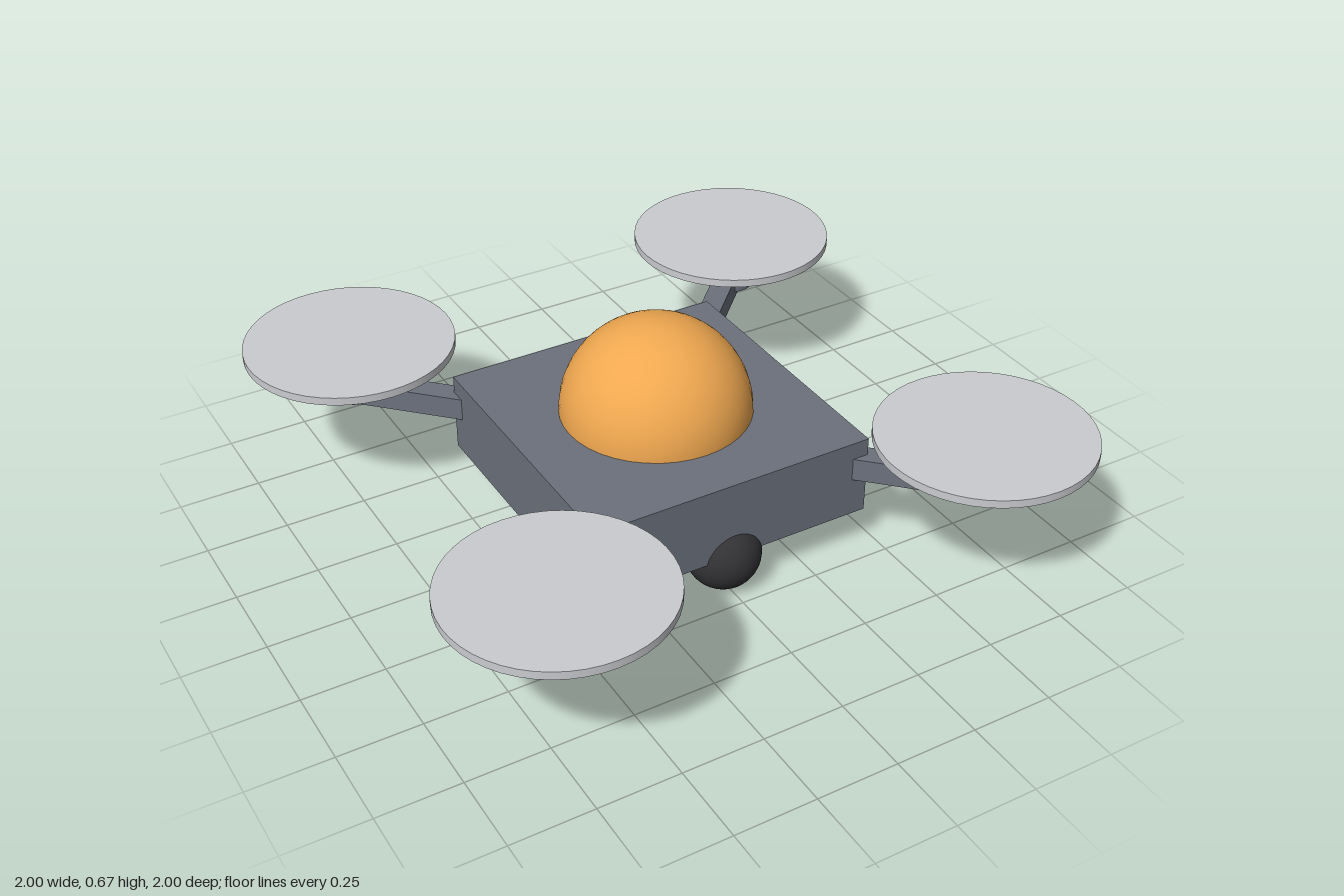
import * as THREE from 'three';

const paint = (color) => new THREE.MeshStandardMaterial({ color });

function addPart(parent, name, geometry, material, x, y, z) {
  const mesh = new THREE.Mesh(geometry, material);
  mesh.name = name;
  mesh.position.set(x, y, z);
  parent.add(mesh);
  return mesh;
}

export function createModel() {
  const model = new THREE.Group();
  model.name = 'quadcopter';

  const slate = paint(0x6b717d);
  const amber = paint(0xf0a850);
  const black = paint(0x333336);
  const light = paint(0xcbccd0);

  // Square body with a half-sphere dome on top
  addPart(model, 'body', new THREE.BoxGeometry(0.895, 0.25, 0.895), slate, 0, 0.26, 0);
  const domeGeometry = new THREE.SphereGeometry(0.287, 40, 16, 0, Math.PI * 2, 0, Math.PI / 2);
  addPart(model, 'dome', domeGeometry, amber, 0, 0.386, 0);

  // Ball camera under the front edge
  addPart(model, 'camera', new THREE.SphereGeometry(0.113, 32, 20), black, 0, 0.113, 0.385);

  // Four diagonal arms, each with a motor and a rotor disc
  const armGeometry = new THREE.BoxGeometry(0.41, 0.072, 0.071);
  const motorGeometry = new THREE.CylinderGeometry(0.077, 0.077, 0.16, 24);
  const rotorGeometry = new THREE.CylinderGeometry(0.32, 0.32, 0.025, 48);
  for (const sx of [1, -1]) {
    for (const sz of [1, -1]) {
      const unit = new THREE.Group();
      unit.name = `${sz > 0 ? 'front' : 'back'}${sx > 0 ? 'Left' : 'Right'}RotorUnit`;
      const arm = addPart(unit, 'arm', armGeometry, slate, sx * 0.56, 0.294, sz * 0.56);
      arm.rotation.y = Math.atan2(-sz, sx);
      addPart(unit, 'motor', motorGeometry, slate, sx * 0.68, 0.358, sz * 0.68);
      addPart(unit, 'rotor', rotorGeometry, light, sx * 0.68, 0.451, sz * 0.68);
      model.add(unit);
    }
  }
  return model;
}
